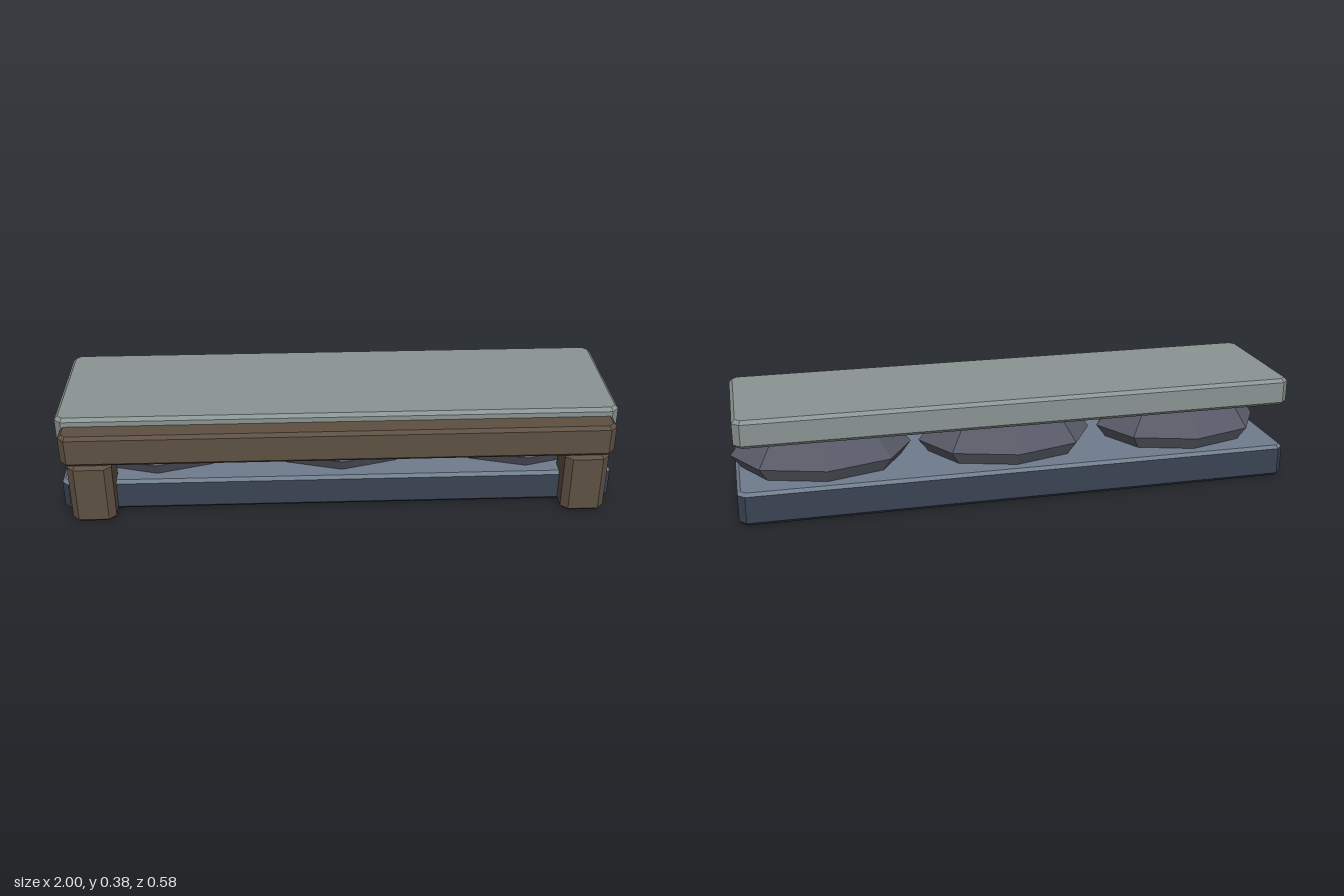
import * as THREE from 'three';

const mat = (color) => new THREE.MeshStandardMaterial({ color, flatShading: true });

// Eight-cornered outline of a rectangle with cut corners, anticlockwise from above
function outline(hx, hz, c) {
  return [
    [hx, hz - c], [hx, c - hz], [hx - c, -hz], [c - hx, -hz],
    [-hx, c - hz], [-hx, hz - c], [c - hx, hz], [hx - c, hz],
  ];
}

// Stack of cut-corner outlines; levels are [height, inset] from bottom to top
function block(name, [x0, x1], [z0, z1], levels, material) {
  const hx = (x1 - x0) / 2, hz = (z1 - z0) / 2, cut = 0.024;
  const pos = [], idx = [];
  for (const [y, inset] of levels) {
    for (const [x, z] of outline(hx - inset, hz - inset, cut - inset * 0.6)) pos.push(x, y, z);
  }
  const top = (levels.length - 1) * 8;
  for (let r = 0; r < top; r += 8) {
    for (let i = 0; i < 8; i++) {
      const a = r + i, b = r + (i + 1) % 8;
      idx.push(a, b, b + 8, a, b + 8, a + 8);
    }
  }
  for (let i = 1; i < 7; i++) {
    idx.push(top, top + i, top + i + 1);
    idx.push(0, i + 1, i);
  }
  const geo = new THREE.BufferGeometry();
  geo.setAttribute('position', new THREE.Float32BufferAttribute(pos, 3));
  geo.setIndex(idx);
  geo.computeVertexNormals();
  const mesh = new THREE.Mesh(geo, material);
  mesh.name = name;
  mesh.position.set((x0 + x1) / 2, 0, (z0 + z1) / 2);
  return mesh;
}

// Levels of a block bevelled at both ends
const bevelled = (y0, y1, b = 0.012) => [[y0, b], [y0 + b, 0], [y1 - b, 0], [y1, b]];

export function createModel() {
  const group = new THREE.Group();
  const wood = mat(0x5e5042);
  const stone = mat(0x5a5c69);
  const slabX = [-1, 0.98], slabZ = [-0.288, 0.21], frameZ = [0.13, 0.289];

  // Base with a paler top face and bevel
  group.add(block('base', slabX, slabZ, [[0, 0.012], [0.012, 0], [0.108, 0]], mat(0x3a4354)));
  group.add(block('baseTop', slabX, slabZ, [[0.108, 0], [0.119, 0.012]], mat(0x6f7c8c)));

  // Upper slab
  group.add(block('topSlab', slabX, slabZ, bevelled(0.278, 0.377), mat(0x8a9492)));

  // Front beam on two posts
  group.add(block('frontBeam', [-0.98, 0.96], frameZ, bevelled(0.23, 0.347), wood));
  group.add(block('rightPost', [-0.96, -0.806], frameZ, bevelled(0, 0.229), wood));
  group.add(block('leftPost', [0.79, 0.945], frameZ, bevelled(0, 0.229), wood));

  // Three squat eight-sided stones between the slabs
  const profile = [[0, -0.155], [0.73, -0.11], [1, 0], [0.74, 0.11], [0, 0.155]]
    .map(([r, y]) => new THREE.Vector2(r, y));
  const stoneGeo = new THREE.LatheGeometry(profile, 8);
  [[-0.662, 0.313], [0.005, 0.322], [0.675, 0.32]].forEach(([x, rx], i) => {
    const mesh = new THREE.Mesh(stoneGeo, stone);
    mesh.name = `stone${i + 1}`;
    mesh.position.set(x, 0.166, -0.04);
    mesh.scale.set(rx, 1, 0.227);
    group.add(mesh);
  });

  return group;
}
